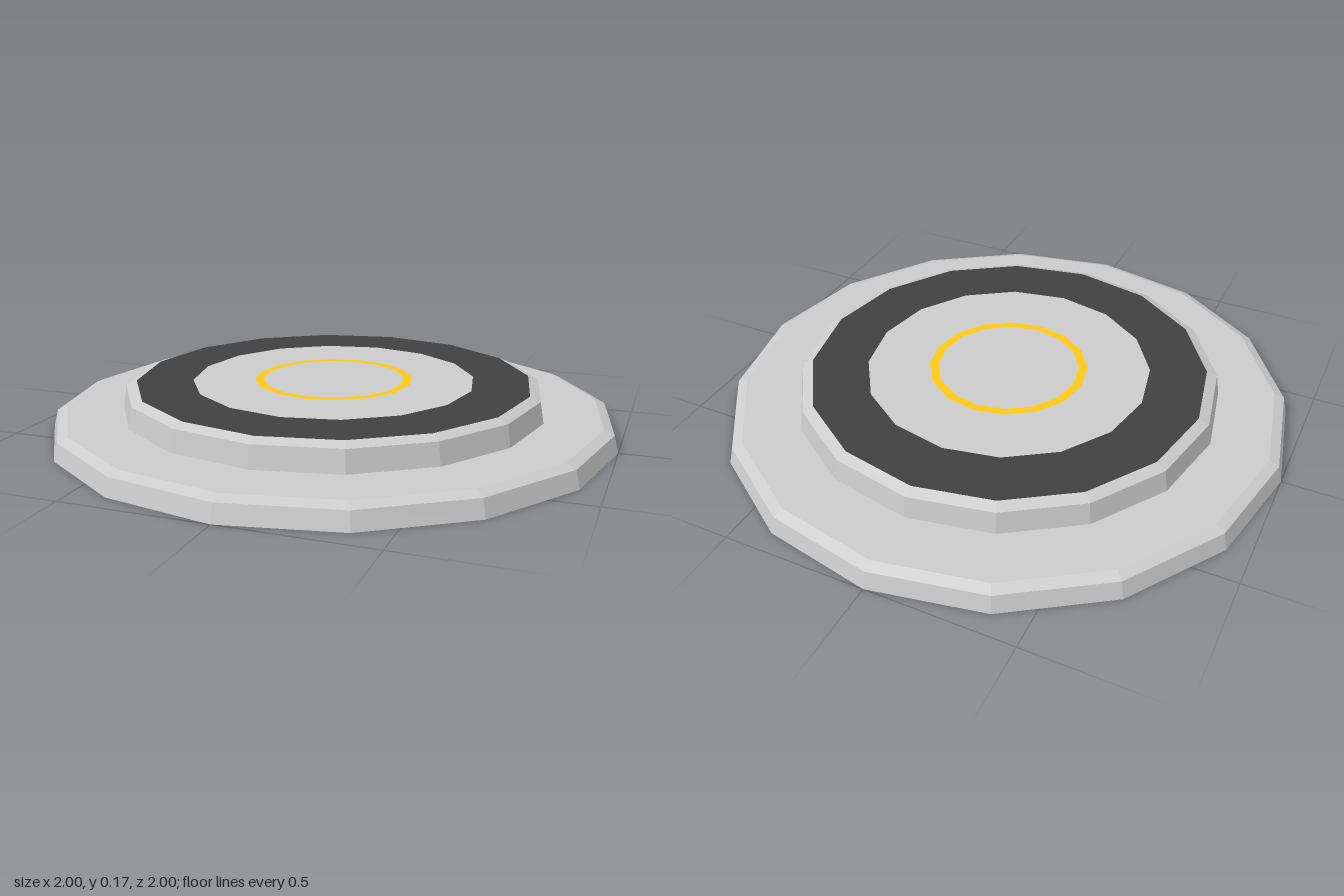
import * as THREE from 'three';

const SIDES = 16;
const TOP = 0.165;

// Open faceted shell turned from a [radius, height] profile, listed from the outside in
function turned(name, profile, color) {
  const points = profile.map(([r, y]) => new THREE.Vector2(r, y));
  const material = new THREE.MeshStandardMaterial({ color, flatShading: true, side: THREE.DoubleSide });
  const mesh = new THREE.Mesh(new THREE.LatheGeometry(points, SIDES), material);
  mesh.name = name;
  return mesh;
}

export function createModel() {
  const group = new THREE.Group();
  group.name = 'roundPlatform';
  group.add(
    // Wide lower step with a bevelled rim
    turned('lowerStep', [[1, 0], [0.985, 0.06], [0.95, 0.075], [0.75, 0.075]], 0xcccccc),
    // Raised upper step, hollow underneath
    turned('upperStep', [[0.75, 0.075], [0.737, 0.15], [0.7, TOP]], 0xcccccc),
    // Flat top: dark band, grey plate, yellow ring and grey centre
    turned('darkBand', [[0.7, TOP], [0.5, TOP]], 0x404040),
    turned('topPlate', [[0.5, TOP], [0.28, TOP]], 0xcccccc),
    turned('yellowRing', [[0.28, TOP], [0.25, TOP]], 0xffc814),
    turned('centreDisc', [[0.25, TOP], [0, TOP]], 0xcccccc),
  );
  return group;
}
